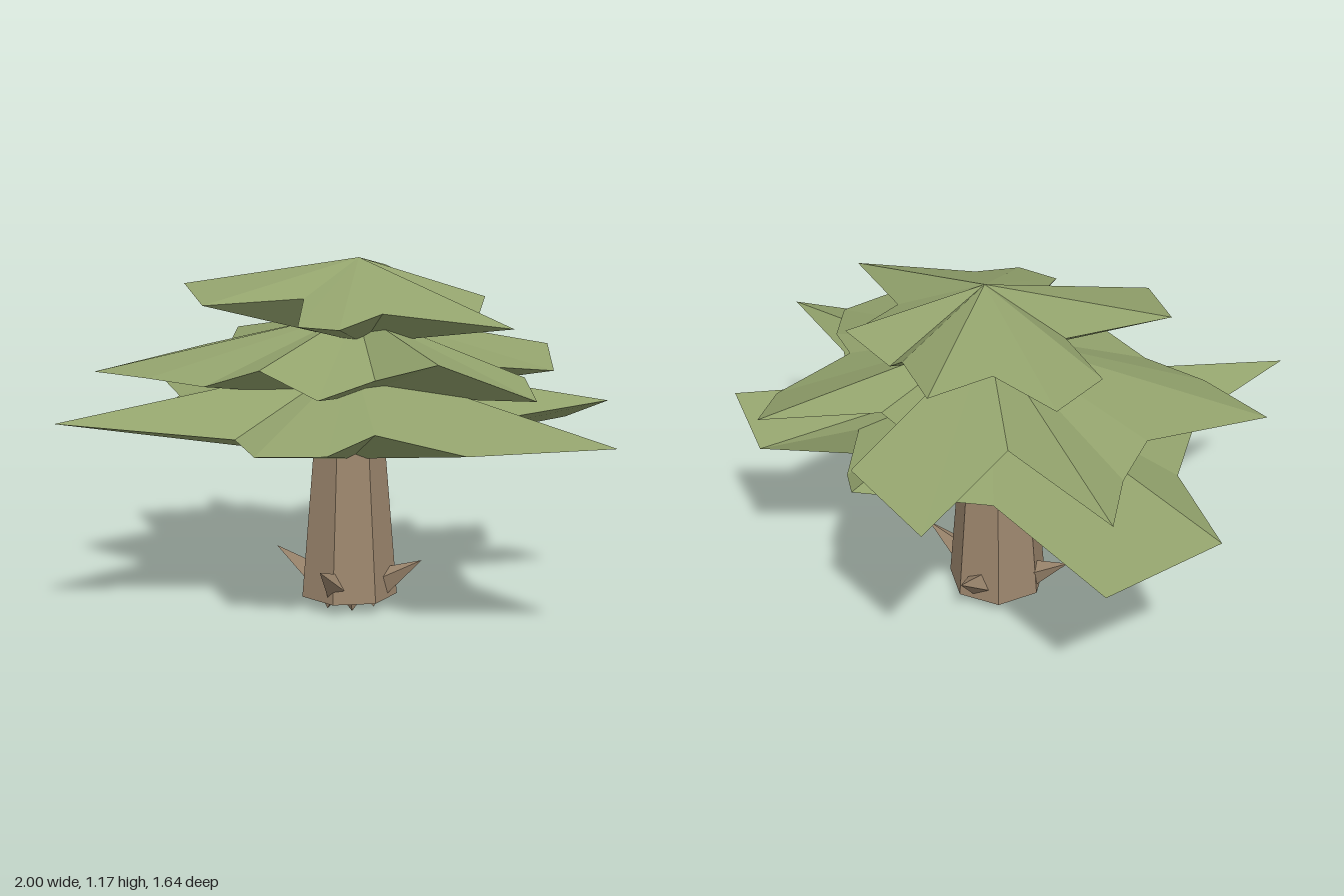
import * as THREE from 'three';

const bark = new THREE.MeshStandardMaterial({ color: 0x9c866d, flatShading: true });
const leaf = new THREE.MeshStandardMaterial({ color: 0x92a26c, flatShading: true });
const CX = -0.04, CZ = -0.09; // trunk axis

// Closed star-shaped bough layer: rim corners (x, y, z) run clockwise seen from above
function boughLayer(name, top, bottom, rim) {
  const pos = [];
  rim.forEach((cur, i) => {
    const next = rim[(i + 1) % rim.length];
    pos.push(...top, ...next, ...cur, ...bottom, ...cur, ...next);
  });
  const geo = new THREE.BufferGeometry();
  geo.setAttribute('position', new THREE.Float32BufferAttribute(pos, 3));
  geo.computeVertexNormals();
  const mesh = new THREE.Mesh(geo, leaf);
  mesh.name = name;
  return mesh;
}

// Small pointed cone from a base point to a tip
function spike(name, base, tip, radius, sides) {
  const dir = tip.clone().sub(base);
  const geo = new THREE.ConeGeometry(radius, dir.length(), sides);
  const mesh = new THREE.Mesh(geo, bark);
  mesh.position.copy(base).add(tip).multiplyScalar(0.5);
  mesh.quaternion.setFromUnitVectors(new THREE.Vector3(0, 1, 0), dir.normalize());
  mesh.name = name;
  return mesh;
}

// Point around the trunk axis, angle in degrees from +x towards +z
function around(deg, r, y) {
  const a = THREE.MathUtils.degToRad(deg);
  return new THREE.Vector3(CX + r * Math.cos(a), y, CZ + r * Math.sin(a));
}

export function createModel() {
  const group = new THREE.Group();
  group.name = 'tree';

  // Seven-sided tapering trunk
  const trunk = new THREE.Mesh(new THREE.CylinderGeometry(0.12, 0.165, 0.54, 7), bark);
  trunk.position.set(CX, 0.31, CZ);
  trunk.rotation.y = THREE.MathUtils.degToRad(74);
  trunk.name = 'trunk';
  group.add(trunk);

  // Four broken twigs near the foot
  for (let i = 0; i < 4; i++) {
    const deg = 70 + i * 90;
    group.add(spike('twig', around(deg, 0.12, 0.09), around(deg, 0.262, 0.178), 0.048, 4));
  }

  // Short roots under the trunk
  for (let i = 0; i < 7; i++) {
    const deg = 42 + i * 360 / 7;
    group.add(spike('root', around(deg, 0.085, 0.045), around(deg, 0.1, 0.003), 0.04, 3));
  }

  // Three irregular tiers of boughs
  group.add(boughLayer('lowerBoughs', [-0.03, 0.84, -0.1], [-0.03, 0.505, -0.09], [
    [-0.87, 0.615, -0.44], [-0.39, 0.68, -0.43], [-0.08, 0.71, -0.72], [0.07, 0.65, -0.62],
    [0.22, 0.67, -0.45], [0.415, 0.615, -0.7], [0.62, 0.705, -0.64], [0.4, 0.66, -0.33],
    [0.62, 0.68, -0.19], [1, 0.685, -0.1], [0.65, 0.655, 0.17], [0.35, 0.69, 0.24],
    [0.29, 0.64, 0.395], [0.085, 0.625, 0.495], [-0.09, 0.64, 0.4], [-0.465, 0.705, 0.815],
    [-0.465, 0.67, 0.4], [-0.65, 0.67, 0.1], [-1, 0.705, -0.1],
  ]));
  group.add(boughLayer('middleBoughs', [-0.03, 1.0, -0.12], [-0.02, 0.715, -0.1], [
    [-0.525, 0.84, -0.825], [-0.215, 0.905, -0.82], [-0.1, 0.82, -0.5], [0.05, 0.83, -0.49],
    [0.265, 0.84, -0.8], [0.42, 0.785, -0.615], [0.395, 0.83, -0.335], [0.535, 0.82, -0.28],
    [0.695, 0.785, -0.12], [0.49, 0.905, 0.11], [0.25, 0.83, 0.12], [0.18, 0.785, 0.31],
    [-0.03, 0.86, 0.35], [-0.235, 0.79, 0.39], [-0.465, 0.795, 0.42], [-0.735, 0.785, 0.41],
    [-0.625, 0.84, -0.02], [-0.69, 0.81, -0.19], [-0.85, 0.835, -0.4], [-0.39, 0.85, -0.37],
  ]));
  group.add(boughLayer('upperBoughs', [-0.03, 1.175, -0.13], [0, 0.895, -0.12], [
    [-0.3, 1.09, -0.6], [-0.06, 1.06, -0.49], [0.05, 0.98, -0.45], [0.235, 1.035, -0.47],
    [0.29, 0.985, -0.36], [0.257, 1.03, -0.24], [0.605, 1.0, -0.12], [0.245, 1.035, 0.08],
    [0.215, 1.0, 0.25], [0.075, 1.0, 0.285], [-0.03, 1.065, 0.14], [-0.235, 1.05, 0.39],
    [-0.46, 1.09, 0.25], [-0.27, 1.04, -0.015], [-0.5, 1.03, -0.09], [-0.545, 1.04, -0.325],
    [-0.315, 1.07, -0.36],
  ]));
  return group;
}
